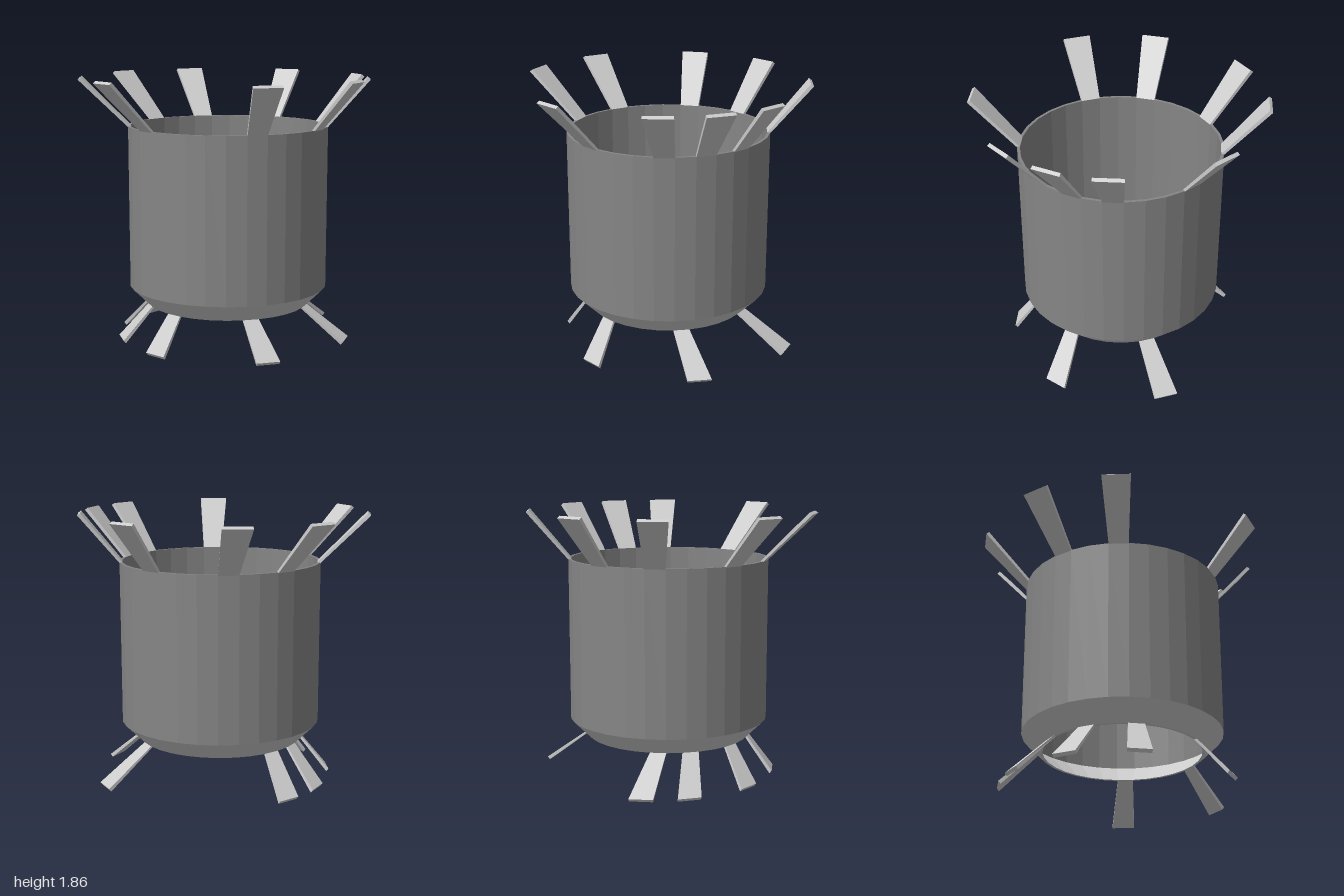
import * as THREE from 'three';

const SIDES = 32;
const STEP = (Math.PI * 2) / SIDES;
const lightGrey = new THREE.MeshStandardMaterial({ color: 0xcccccc, flatShading: true });
const darkGrey = new THREE.MeshStandardMaterial({ color: 0x868686, flatShading: true });

// Cross-section ends of a slat: ring centre plus [radius, y] of its inner and outer edge
const upperSlat = {
  top: { x: 0.006, z: -0.01, inner: [0.99, 1.86], outer: [1.01, 1.845] },
  bottom: { x: 0.013, z: -0.04, inner: [0.68, 1.52], outer: [0.7, 1.515] },
};
const lowerSlat = {
  top: { x: 0.013, z: -0.04, inner: [0.552, 0.258], outer: [0.568, 0.262] },
  bottom: { x: -0.006, z: -0.118, inner: [0.816, 0], outer: [0.832, 0.02] },
};

// A flat plank spanning one facet of the ring, widening as its radius grows
function makeSlat(name, section, slot) {
  const geometry = new THREE.BoxGeometry(1, 1, 1);
  const p = geometry.attributes.position;
  for (let i = 0; i < p.count; i++) {
    const end = p.getY(i) > 0 ? section.top : section.bottom;
    const [r, y] = p.getZ(i) > 0 ? end.outer : end.inner;
    const angle = (slot + 0.5 + p.getX(i)) * STEP;
    p.setXYZ(i, end.x + r * Math.sin(angle), y, end.z + r * Math.cos(angle));
  }
  geometry.computeVertexNormals();
  const mesh = new THREE.Mesh(geometry, lightGrey);
  mesh.name = name;
  return mesh;
}

// A faceted ring turned from [radius, y] points
function makeRing(name, profile, material) {
  const points = profile.map(([r, y]) => new THREE.Vector2(r, y));
  const mesh = new THREE.Mesh(new THREE.LatheGeometry(points, SIDES), material);
  mesh.name = name;
  mesh.position.set(0.013, 0, -0.04);
  return mesh;
}

export function createModel() {
  const model = new THREE.Group();
  model.name = 'slattedDrum';

  // Thin dark wall with its rim, open at both ends
  model.add(makeRing('drumWall', [[0.698, 0.388], [0.7, 1.52], [0.68, 1.52], [0.678, 0.395]], darkGrey));

  // Lighter sloping edge below the wall
  model.add(makeRing('lowerChamfer', [[0.678, 0.395], [0.548, 0.26], [0.568, 0.26], [0.698, 0.388]], lightGrey));

  // Slats flaring up from the rim
  const upper = new THREE.Group();
  upper.name = 'upperSlats';
  for (const slot of [-15, -11, -8, -4, -1, 5, 9, 11, 13]) {
    upper.add(makeSlat('upperSlat', upperSlat, slot));
  }

  // Slats flaring down from the lower edge
  const lower = new THREE.Group();
  lower.name = 'lowerSlats';
  for (const slot of [-8, -6, -3, 0, 5, 10, 15]) {
    lower.add(makeSlat('lowerSlat', lowerSlat, slot));
  }

  model.add(upper, lower);
  return model;
}
